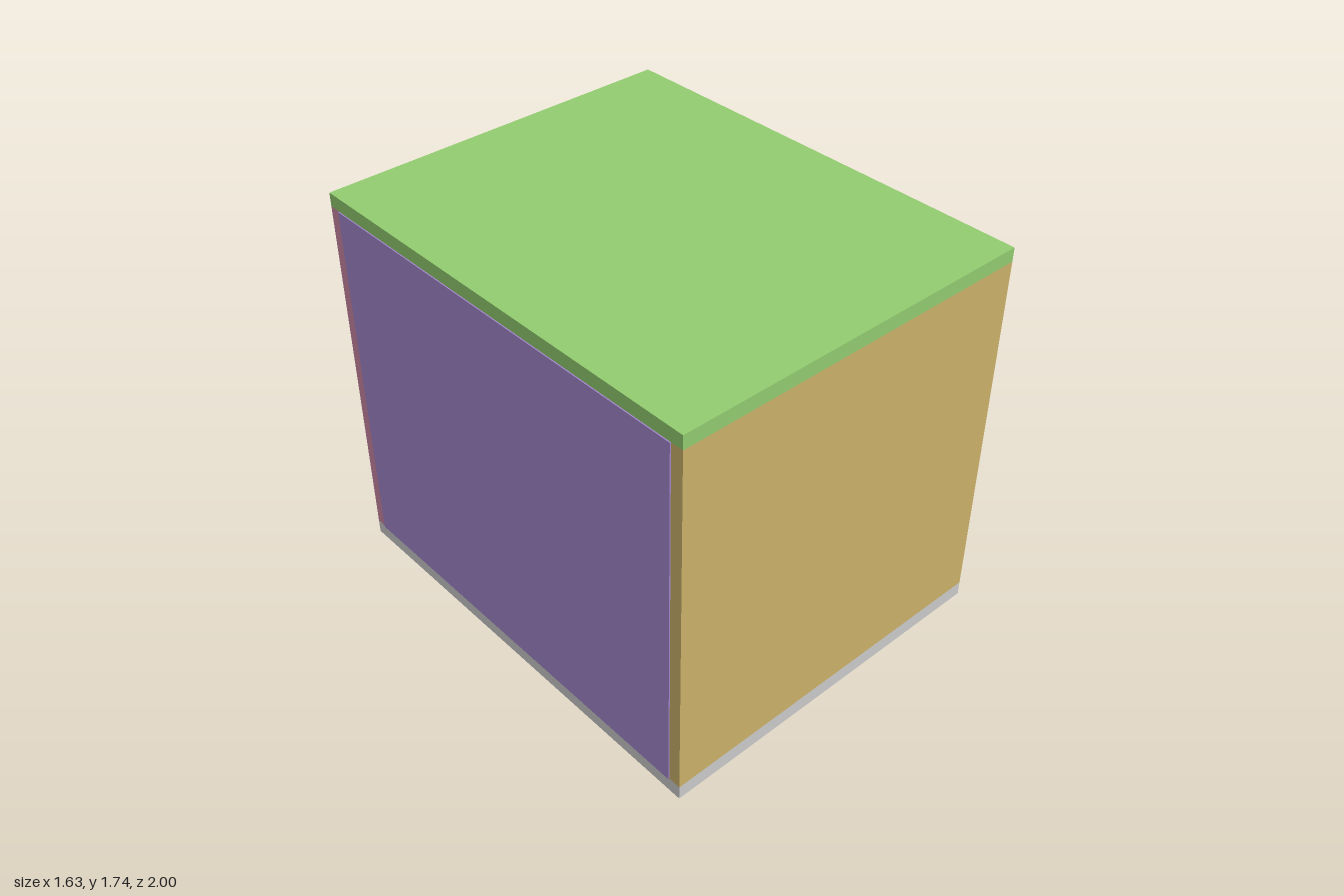
import * as THREE from 'three';

// Box panel given by its min and max corners
function panel(name, color, min, max) {
  const size = max.map((v, i) => v - min[i]);
  const mesh = new THREE.Mesh(
    new THREE.BoxGeometry(...size),
    new THREE.MeshStandardMaterial({ color })
  );
  mesh.name = name;
  mesh.position.set(...max.map((v, i) => (v + min[i]) / 2));
  return mesh;
}

export function createModel() {
  const group = new THREE.Group();
  group.name = 'openCabinet';

  const x0 = -0.812, x1 = 0.816; // carcass width
  const floorY = 0.065, ceilY = 1.68, topY = 1.74;
  const wall = 0.075;

  // Horizontal boards
  group.add(panel('bottomBoard', 0xcccccc, [x0, 0, -1], [x1, floorY, 1]));
  group.add(panel('topBoard', 0x92cc70, [x0, ceilY, -1], [x1, topY, 1]));

  // Upright walls at front and back; the +x side stays open
  group.add(panel('frontWall', 0xccb26a, [x0, floorY, 1 - wall], [x1, ceilY, 1]));
  group.add(panel('backWall', 0xcc86a6, [x0, floorY, -1], [x1, ceilY, -1 + wall]));

  // Thin closing sheet on the -x side, slightly proud of the wall edges
  group.add(panel('closingSheet', 0xa286cc, [-0.817, floorY, -0.945], [-0.797, ceilY, 0.945]));

  return group;
}
